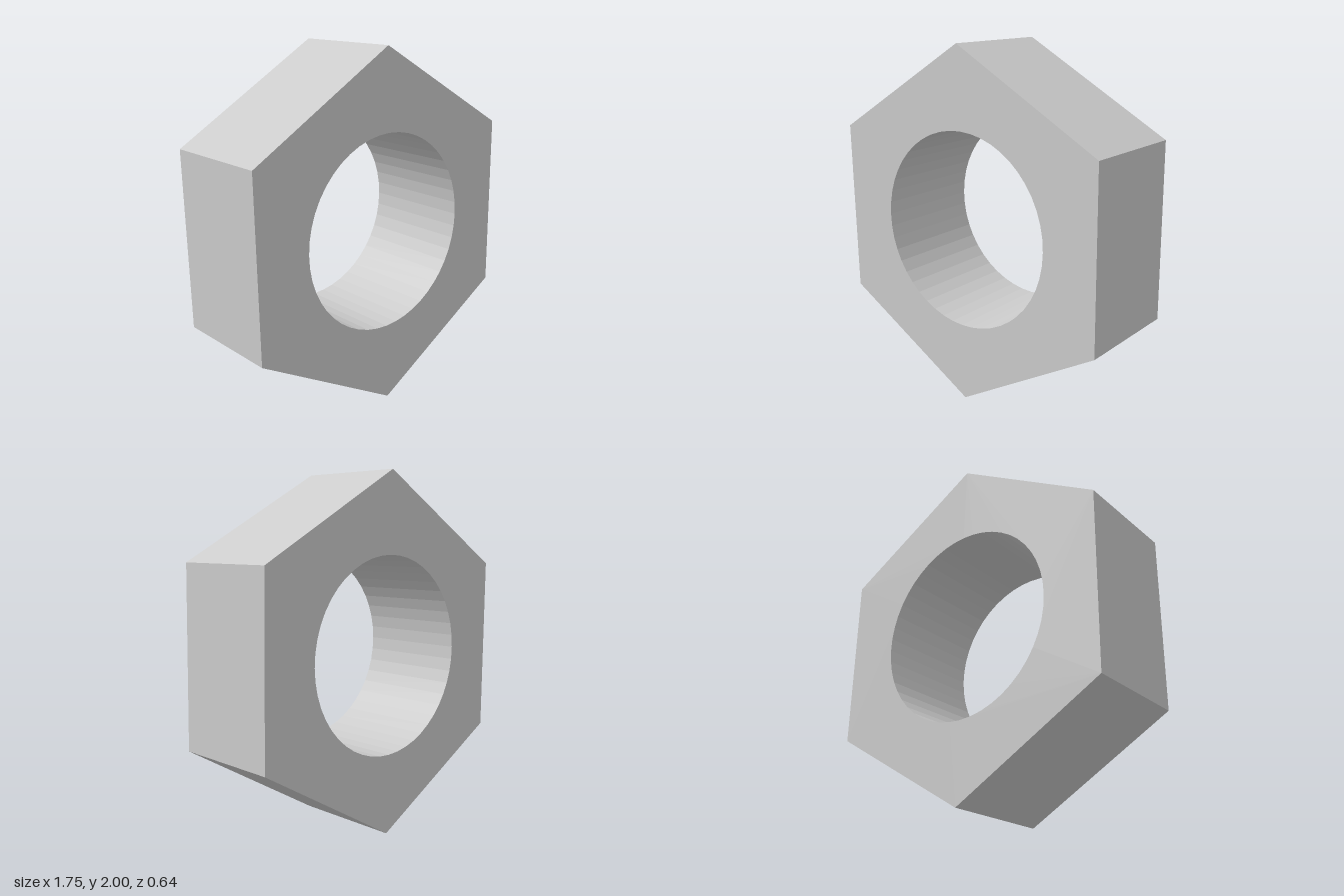
import * as THREE from 'three';

const RADIUS = 1;        // centre to hexagon corner
const BORE = 0.55;       // hole radius
const DEPTH = 0.64;
const TILT = 0.0166;     // slight turn about the bore axis

export function createModel() {
  const group = new THREE.Group();
  group.name = 'hexNut';

  // Hexagonal outline, one corner near the top
  const outline = new THREE.Shape();
  const corners = [];
  for (let i = 0; i < 6; i++) {
    const a = Math.PI / 2 + TILT + (i * Math.PI) / 3;
    corners.push(new THREE.Vector2(RADIUS * Math.cos(a), RADIUS * Math.sin(a)));
  }
  outline.setFromPoints(corners);
  outline.closePath();

  // Round bore through the middle
  const bore = new THREE.Path();
  bore.absarc(0, 0, BORE, 0, Math.PI * 2, true);
  outline.holes.push(bore);

  const geometry = new THREE.ExtrudeGeometry(outline, {
    depth: DEPTH,
    bevelEnabled: false,
    curveSegments: 24,
  });
  geometry.translate(0, 0, -DEPTH / 2);

  const nut = new THREE.Mesh(
    geometry,
    new THREE.MeshStandardMaterial({ color: 0xcccccc, flatShading: true })
  );
  nut.name = 'nutBody';
  nut.position.y = RADIUS;
  group.add(nut);
  return group;
}
